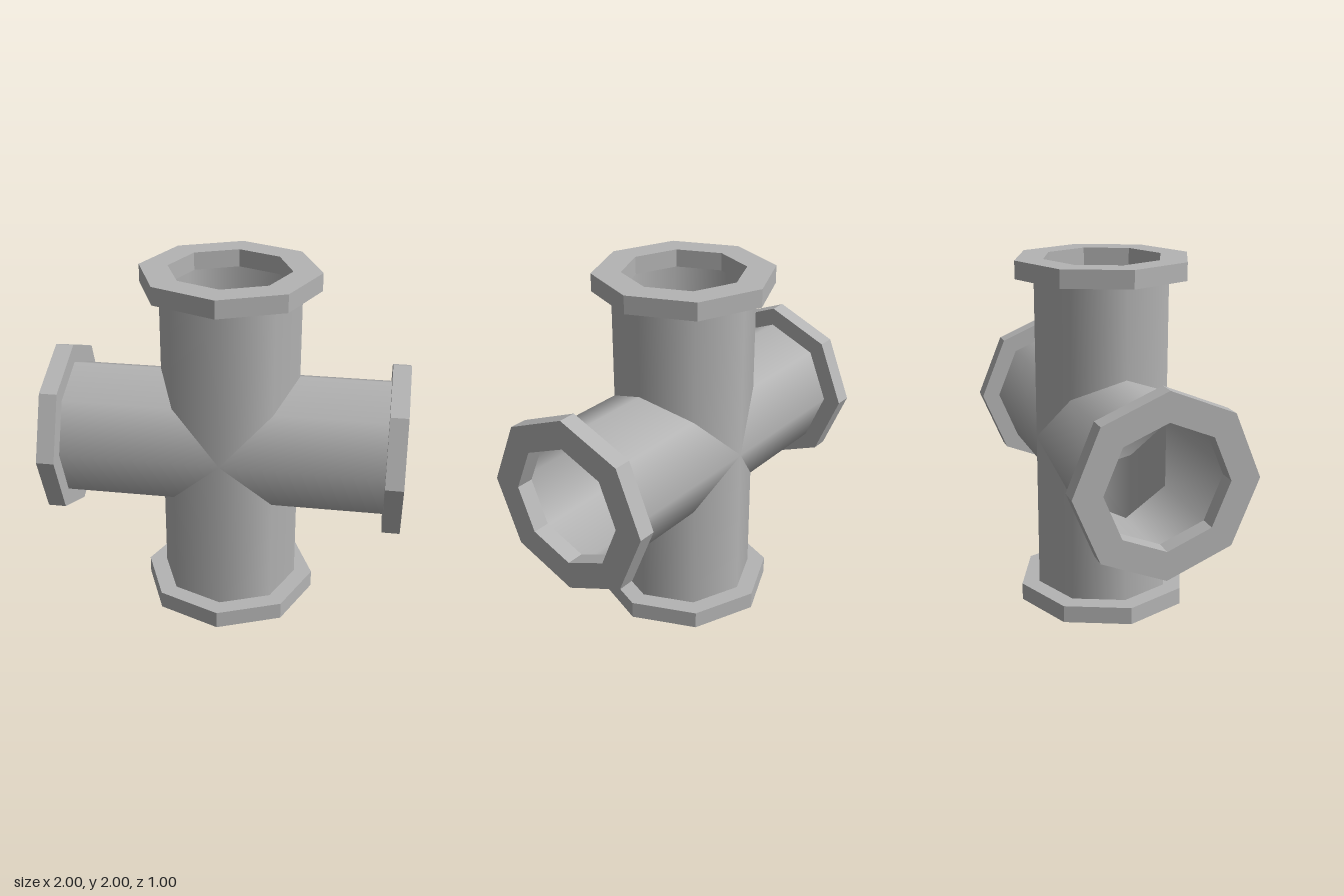
import * as THREE from 'three';

const SIDES = 8;
const PIPE_R = 0.395, FLANGE_R = 0.5, HOLE_R = 0.34;
const FLANGE_START = 0.9, END = 1;

// Open pipe arm along +y, its inner end cut to a 45 degree mitre (y = |x|)
function armGeometry() {
  const geo = new THREE.CylinderGeometry(PIPE_R, PIPE_R, 1, SIDES, 1, true);
  const pos = geo.attributes.position;
  for (let i = 0; i < pos.count; i++) {
    pos.setY(i, pos.getY(i) > 0 ? FLANGE_START : Math.abs(pos.getX(i)));
  }
  return geo;
}

// Octagonal ring with a hole, faceted
function flangeGeometry() {
  const profile = [
    [HOLE_R, FLANGE_START], [FLANGE_R, FLANGE_START],
    [FLANGE_R, END], [HOLE_R, END], [HOLE_R, FLANGE_START],
  ].map(([r, y]) => new THREE.Vector2(r, y));
  const geo = new THREE.LatheGeometry(profile, SIDES).toNonIndexed();
  geo.computeVertexNormals();
  return geo;
}

export function createModel() {
  const metal = new THREE.MeshStandardMaterial({ color: 0xb4b4b4, side: THREE.DoubleSide });
  metal.name = 'grey metal';

  const model = new THREE.Group();
  model.name = 'pipeCross';
  const arm = armGeometry();
  const flange = flangeGeometry();

  // Four identical arms around the centre
  ['top', 'left', 'bottom', 'right'].forEach((side, i) => {
    const group = new THREE.Group();
    group.name = side + 'Arm';
    const pipe = new THREE.Mesh(arm, metal);
    pipe.name = side + 'Pipe';
    const ring = new THREE.Mesh(flange, metal);
    ring.name = side + 'Flange';
    group.add(pipe, ring);
    group.position.y = 1;
    group.rotation.z = -i * Math.PI / 2;
    model.add(group);
  });
  return model;
}
